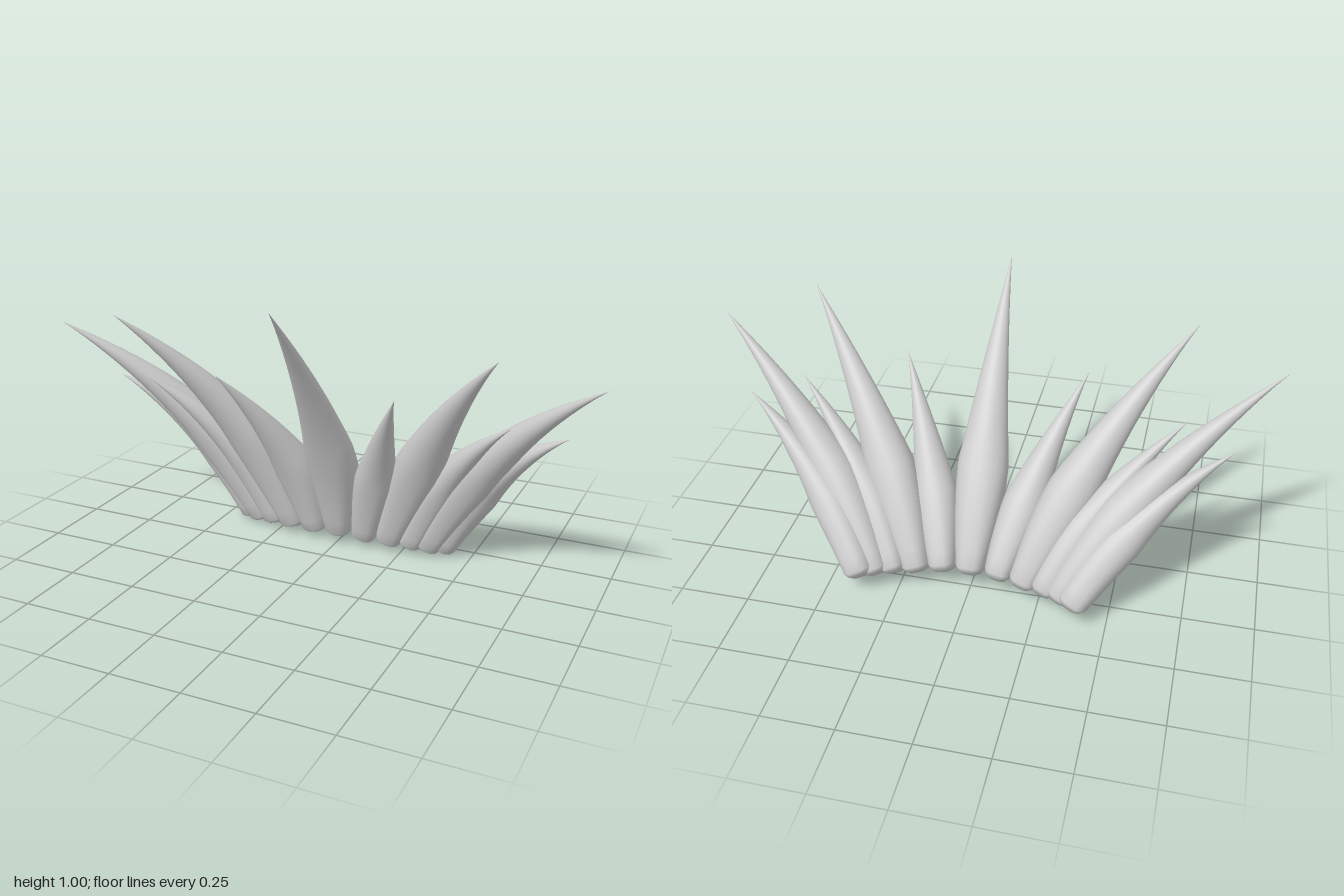
import * as THREE from 'three';

const grey = new THREE.MeshStandardMaterial({ color: 0xcccccc });
grey.name = 'grey';

// base centre, path control offset, tip, root half width, widest half width, half depth
const SPIKES = [
  { name: 'centreSpike', base: [0, 0.077, -0.2], bow: [0, 0.02, -0.115], tip: [0, 1, 0.4], w: 0.056, wMax: 0.09, d: 0.108 },
  { name: 'innerShortSpike', base: [0.103, 0.073, -0.205], bow: [-0.035, 0.03, -0.05], tip: [0.33, 0.69, 0.17], w: 0.053, wMax: 0.076, d: 0.108 },
  { name: 'innerLongSpike', base: [0.198, 0.068, -0.217], bow: [-0.07, 0.07, -0.075], tip: [0.69, 0.885, 0.24], w: 0.055, wMax: 0.088, d: 0.112 },
  { name: 'middleShortSpike', base: [0.278, 0.064, -0.234], bow: [-0.06, 0.06, -0.035], tip: [0.69, 0.61, 0.05], w: 0.052, wMax: 0.07, d: 0.114 },
  { name: 'outerLongSpike', base: [0.34, 0.062, -0.252], bow: [-0.09, 0.08, -0.05], tip: [1, 0.8, 0.12], w: 0.056, wMax: 0.082, d: 0.122 },
  { name: 'outerShortSpike', base: [0.388, 0.064, -0.279], bow: [-0.05, 0.08, -0.01], tip: [0.86, 0.57, -0.04], w: 0.06, wMax: 0.074, d: 0.128 },
];

const SIDES = 28;
const STEPS = 18;
const PEAK = 0.34;

// rings: path position, push along the path, section scale
const RINGS = [[0, -0.045, 0.001], [0, -0.042, 0.4], [0, -0.032, 0.7], [0, -0.016, 0.9]];
for (let i = 0; i <= STEPS; i++) RINGS.push([i / STEPS, 0, 1]);

// rounded-box coordinate: power 1 is an ellipse, less is squarer
const squared = (v, power) => Math.sign(v) * Math.pow(Math.abs(v), power);

// curved, flattened cone with a rounded root, lofted from closed sections
function spikeGeometry(s, mirror) {
  const base = new THREE.Vector3(...s.base);
  const tip = new THREE.Vector3(...s.tip);
  const control = base.clone().lerp(tip, 0.5).add(new THREE.Vector3(...s.bow));
  const path = new THREE.QuadraticBezierCurve3(base, control, tip);
  const back = new THREE.Vector3(-0.1 * s.base[0], 0.35, -0.93);

  const positions = [];
  const indices = [];
  for (const [t, push, scale] of RINGS) {
    const tangent = path.getTangent(t);
    const centre = path.getPoint(t).addScaledVector(tangent, push);
    const across = tangent.clone().cross(back).normalize();
    const deep = across.clone().cross(tangent).normalize();
    const swell = t < PEAK
      ? s.w + (s.wMax - s.w) * Math.sin((t / PEAK) * Math.PI / 2)
      : s.wMax * Math.pow(1 - (t - PEAK) / (1 - PEAK), 1.05);
    const halfW = Math.max(swell * scale, 0.0004);
    const halfD = Math.max(s.d * scale * (1 - Math.pow(t, 1.08)), 0.0004);
    const power = THREE.MathUtils.lerp(0.65, 1, Math.min(t / 0.45, 1));
    for (let j = 0; j < SIDES; j++) {
      const a = (j / SIDES) * Math.PI * 2;
      const p = centre.clone()
        .addScaledVector(across, squared(Math.cos(a), power) * halfW)
        .addScaledVector(deep, squared(Math.sin(a), power) * halfD);
      positions.push(p.x * mirror, p.y, p.z);
    }
  }
  for (let i = 0; i < RINGS.length - 1; i++) {
    for (let j = 0; j < SIDES; j++) {
      const a = i * SIDES + j;
      const b = i * SIDES + (j + 1) % SIDES;
      const c = a + SIDES;
      const d = b + SIDES;
      // the mirrored side needs the opposite corner order
      if (mirror > 0) indices.push(a, c, b, b, c, d);
      else indices.push(a, b, c, b, d, c);
    }
  }
  const geometry = new THREE.BufferGeometry();
  geometry.setAttribute('position', new THREE.Float32BufferAttribute(positions, 3));
  // across x deep points against the path, so faces are turned outward here
  geometry.setIndex(indices);
  geometry.computeVertexNormals();
  return geometry;
}

export function createModel() {
  const model = new THREE.Group();
  model.name = 'spikedCrest';
  for (const s of SPIKES) {
    const mirrors = s.base[0] === 0 ? [1] : [1, -1];
    for (const m of mirrors) {
      const mesh = new THREE.Mesh(spikeGeometry(s, m), grey);
      mesh.name = mirrors.length === 1 ? s.name : s.name + (m > 0 ? 'Left' : 'Right');
      model.add(mesh);
    }
  }
  // stand on the ground
  model.position.y = -new THREE.Box3().setFromObject(model).min.y;
  return model;
}
